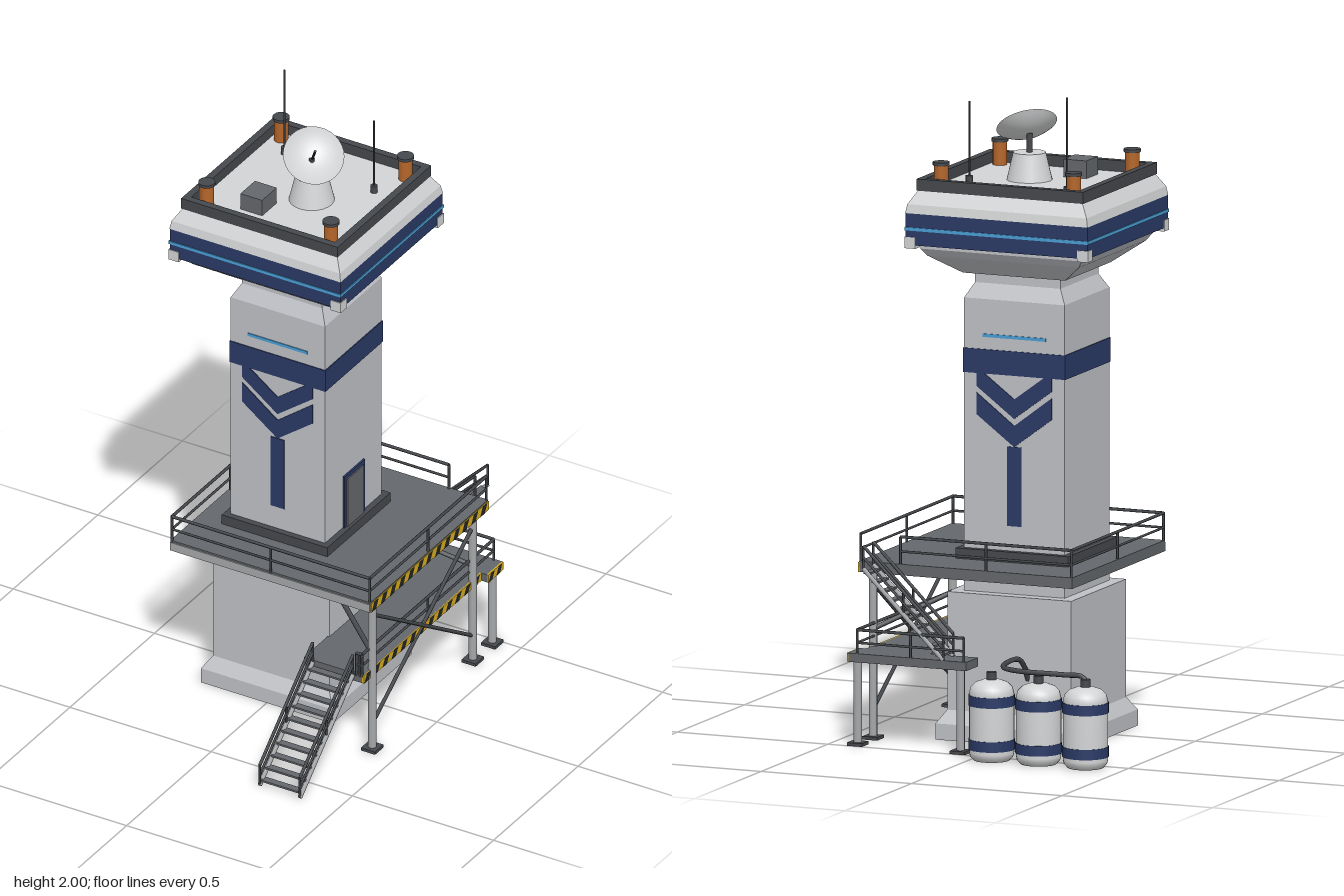
import * as THREE from 'three';
import { mergeGeometries } from 'three/addons/utils/BufferGeometryUtils.js';

const mat = (name, color, side = THREE.FrontSide) => {
  const m = new THREE.MeshStandardMaterial({ color, side });
  m.name = name;
  return m;
};
const V = (x, y, z) => new THREE.Vector3(x, y, z);

export function createModel() {
  const wall = mat('concrete', 0xbfc1c6), white = mat('white paint', 0xd3d4d5, THREE.DoubleSide);
  const deck = mat('deck grey', 0x64676b), trim = mat('dark trim', 0x45484c), steel = mat('steel', 0xa5a7aa);
  const navy = mat('navy', 0x2a3a66), cyan = mat('cyan', 0x4a9fd6), orange = mat('orange', 0xb5662a);
  const yellow = mat('yellow', 0xd9ae1e), black = mat('black', 0x232427);

  const model = new THREE.Group();
  const tower = new THREE.Group();
  tower.name = 'tower';
  tower.position.z = -0.062;
  model.add(tower);

  const add = (name, geo, material, parent = model, x = 0, y = 0, z = 0) => {
    const m = new THREE.Mesh(geo, material);
    m.name = name;
    m.position.set(x, y, z);
    parent.add(m);
    return m;
  };
  // box given by its min and max corners
  const box = (x0, x1, y0, y1, z0, z1) =>
    new THREE.BoxGeometry(x1 - x0, y1 - y0, z1 - z0).translate((x0 + x1) / 2, (y0 + y1) / 2, (z0 + z1) / 2);
  // square tower section from [half width, y] points, with sharp faces
  const square = (pts) => {
    const p = pts.map(([h, y]) => new THREE.Vector2(h * Math.SQRT2, y));
    const g = new THREE.LatheGeometry(p, 4, Math.PI / 4).toNonIndexed();
    g.computeVertexNormals();
    return g;
  };
  // round bar between two points
  const bar = (a, b, r = 0.004, n = 6) => {
    const d = b.clone().sub(a);
    const q = new THREE.Quaternion().setFromUnitVectors(V(0, 1, 0), d.clone().normalize());
    return new THREE.CylinderGeometry(r, r, d.length(), n).applyQuaternion(q)
      .translate((a.x + b.x) / 2, (a.y + b.y) / 2, (a.z + b.z) / 2);
  };
  // railing along a path: two rails, with posts at the corners and middles
  const railing = (name, path, h, mid = true) => {
    const up = (p, y) => p.clone().setY(p.y + y), parts = [];
    path.forEach((a, i) => {
      parts.push(bar(a, up(a, h)));
      const b = path[i + 1];
      if (!b) return;
      parts.push(bar(up(a, h), up(b, h), 0.005), bar(up(a, h / 2), up(b, h / 2)));
      const c = a.clone().lerp(b, 0.5);
      if (mid) parts.push(bar(c, up(c, h)));
    });
    add(name, mergeGeometries(parts), trim);
  };

  // Tower body
  add('base', square([[0, 0], [0.233, 0], [0.233, 0.05], [0.206, 0.09], [0.206, 0.455], [0, 0.455]]), wall, tower);
  add('shaft', square([[0.167, 0.45], [0.167, 1.36], [0.142, 1.405], [0.142, 1.45]]), wall, tower);
  add('shaftCollar', box(-0.187, 0.187, 0.55, 0.588, -0.187, 0.187), trim, tower);
  add('shaftBand', box(-0.17, 0.17, 1.13, 1.205, -0.17, 0.17), navy, tower);

  // Painted chevrons and stripe, front and back
  const chevron = (yo, yc, lo, lc) => new THREE.Shape([
    [-0.125, yo], [-0.125, lo], [0, lc], [0.125, lo], [0.125, yo], [0, yc]].map(([x, y]) => new THREE.Vector2(x, y)));
  for (const turn of [0, Math.PI]) {
    const side = new THREE.Group();
    side.name = turn ? 'backMarkings' : 'frontMarkings';
    side.rotation.y = turn;
    tower.add(side);
    const shapes = [chevron(1.15, 1.057, 1.09, 0.997), chevron(1.07, 0.975, 1.003, 0.91)];
    add('chevrons', new THREE.ExtrudeGeometry(shapes, { depth: 0.004, bevelEnabled: false }), navy, side, 0, 0, 0.166);
    add('stripe', box(-0.024, 0.024, 0.665, 0.91, 0.166, 0.17), navy, side);
    add('lightLine', box(-0.105, 0.105, 1.243, 1.253, 0.166, 0.17), cyan, side);
  }

  // Control room
  add('headUnderside', square([[0, 1.437], [0.17, 1.437], [0.252, 1.497], [0.268, 1.52], [0.268, 1.54]]), wall, tower);
  add('windowBand', box(-0.302, 0.302, 1.535, 1.635, -0.302, 0.302), navy, tower);
  add('windowLine', box(-0.305, 0.305, 1.58, 1.59, -0.305, 0.305), cyan, tower);
  add('headTop', square([[0.303, 1.633], [0.298, 1.66], [0.272, 1.702], [0, 1.702]]), white, tower);
  const posts = [], parapet = [];
  for (const sx of [-1, 1]) for (const sz of [-1, 1])
    posts.push(box(-0.018, 0.018, 1.525, 1.56, -0.018, 0.018).translate(sx * 0.287, 0, sz * 0.287));
  for (let i = 0; i < 4; i++) parapet.push(box(-0.277, 0.277, 1.70, 1.736, 0.254, 0.277).rotateY(i * Math.PI / 2));
  add('cornerBrackets', mergeGeometries(posts), white, tower);
  add('parapet', mergeGeometries(parapet), trim, tower);

  // Roof equipment
  for (const x of [-0.22, 0.22]) for (const z of [-0.22, 0.22]) {
    add('beacon', new THREE.CylinderGeometry(0.022, 0.022, 0.075, 16), orange, tower, x, 1.738, z);
    add('beaconCap', new THREE.CylinderGeometry(0.026, 0.026, 0.01, 16), trim, tower, x, 1.779, z);
  }
  add('roofBox', box(-0.119, -0.042, 1.70, 1.757, 0.042, 0.128), deck);
  for (const [x, z, top] of [[-0.17, -0.217, 2], [0.178, -0.166, 1.955]]) {
    add('antenna', bar(V(x, 1.7, z), V(x, top, z), 0.003), trim);
    add('antennaFoot', new THREE.CylinderGeometry(0.011, 0.011, 0.025, 10), trim, model, x, 1.713, z);
  }
  add('dishPedestal', new THREE.CylinderGeometry(0.05, 0.07, 0.085, 24), white, model, 0.036, 1.744, -0.035);
  add('dishPost', bar(V(0.036, 1.78, -0.035), V(0.036, 1.845, -0.035), 0.009, 10), trim);
  const dish = new THREE.Group();
  dish.name = 'dish';
  dish.position.set(0.037, 1.842, -0.037);
  dish.quaternion.setFromUnitVectors(V(0, 1, 0), V(0.42, 0.77, 0.47).normalize());
  model.add(dish);
  const bowl = [];
  for (let i = 0; i <= 8; i++) bowl.push(new THREE.Vector2(0.094 * i / 8, 0.034 * (i / 8) ** 2));
  add('bowl', new THREE.LatheGeometry(bowl, 32), white, dish);
  add('feed', bar(V(0, 0, 0), V(0, 0.075, 0), 0.004), black, dish);

  // Doors on the right side
  const door = (name, x, y0, y1, z0, z1) => {
    add(name + 'Frame', box(x - 0.01, x + 0.006, y0, y1, z0, z1), navy);
    add(name + 'Panel', box(x, x + 0.01, y0, y1 - 0.013, z0 + 0.013, z1 - 0.013), deck);
  };
  door('upperDoor', 0.167, 0.585, 0.77, -0.122, 0);
  door('lowerDoor', 0.206, 0.09, 0.222, -0.132, 0.01);
  add('lowerDoorLight', box(0.2, 0.212, 0.232, 0.242, -0.12, 0), cyan);

  // Upper platform and lower walkway
  add('upperDeck', box(-0.272, 0.436, 0.522, 0.556, -0.41, 0.286), deck);
  add('upperDeckFrontEdge', box(-0.272, 0.436, 0.522, 0.55, 0.286, 0.29), steel);
  add('lowerDeck', mergeGeometries([box(0.2, 0.41, 0.26, 0.287, -0.41, 0.286), box(0.04, 0.434, 0.26, 0.287, -0.5, -0.41)]), deck);
  const hazard = (name, x, y0, y1, zFront, zBack, n) => {
    const len = zFront - zBack, w = len / n, stripes = [];
    add(name + 'Plate', box(x - 0.004, x + 0.002, y0, y1, zBack, zFront), yellow);
    for (let i = 0; i < n; i++) {
      const a = i * w - zFront;
      const s = new THREE.Shape([[0, y0], [w * 0.5, y0], [w * 0.8, y1], [w * 0.3, y1]]
        .map(([u, y]) => new THREE.Vector2(a + u, y)));
      stripes.push(new THREE.ShapeGeometry(s).rotateY(Math.PI / 2));
    }
    add(name + 'Stripes', mergeGeometries(stripes), black, model, x + 0.003);
  };
  hazard('upperHazard', 0.437, 0.522, 0.552, 0.286, -0.41, 13);
  hazard('lowerHazard', 0.411, 0.26, 0.287, 0.286, -0.41, 13);
  hazard('backHazard', 0.435, 0.26, 0.287, -0.41, -0.5, 2);

  railing('upperRailing', [V(0.3, 0.55, -0.406), V(-0.268, 0.55, -0.406), V(-0.268, 0.55, 0.284),
    V(0.432, 0.55, 0.284), V(0.432, 0.55, -0.406)], 0.09);
  railing('lowerRailing', [V(0.385, 0.28, 0.284), V(0.405, 0.28, 0.284), V(0.405, 0.28, -0.495), V(0.05, 0.28, -0.495)], 0.08);

  // Support posts, feet and bracing
  const legs = [[0.412, 0.235, 0.525], [0.412, -0.36, 0.525], [0.412, -0.475, 0.27], [0.07, -0.475, 0.27]];
  for (const [x, z, top] of legs) {
    add('supportPost', bar(V(x, 0, z), V(x, top, z), 0.013, 12), steel);
    add('postFoot', box(x - 0.025, x + 0.025, 0, 0.01, z - 0.025, z + 0.025), trim);
  }
  add('crossBraces', mergeGeometries([
    bar(V(0.412, 0.09, 0.235), V(0.412, 0.48, -0.36), 0.006), bar(V(0.412, 0.48, 0.235), V(0.412, 0.09, -0.36), 0.006),
    bar(V(0.412, 0.34, 0.235), V(0.2, 0.45, 0.11), 0.008), bar(V(0.412, 0.34, -0.36), V(0.2, 0.45, -0.25), 0.008)]), trim);

  // Stair flights, built from foot to head with a sideways offset for each stringer
  const stair = (name, foot, head, side, steps, h) => {
    const treads = [], stringers = [], along = Math.abs(head.x - foot.x) > 0.1;
    for (let i = 0; i < steps; i++) {
      const p = foot.clone().lerp(head, (i + 0.5) / steps).addScaledVector(side, 0.5), w = side.length();
      treads.push(new THREE.BoxGeometry(along ? 0.024 : w, 0.006, along ? w : 0.024).translate(p.x, p.y, p.z));
    }
    for (const s of [0, 1]) {
      const a = foot.clone().addScaledVector(side, s), b = head.clone().addScaledVector(side, s);
      stringers.push(bar(a, b, 0.007));
      railing(name + 'Railing', [a, b], h);
    }
    add(name + 'Treads', mergeGeometries(treads), deck);
    add(name + 'Stringers', mergeGeometries(stringers), steel);
  };
  stair('frontStair', V(0.232, 0.007, 0.6), V(0.232, 0.28, 0.286), V(0.142, 0, 0), 10, 0.07);
  stair('backStair', V(0.12, 0.287, -0.493), V(0.385, 0.55, -0.493), V(0, 0, 0.075), 10, 0.07);

  // Storage tanks and their pipe
  const tankProfile = [[0, 0], [0.055, 0], [0.066, 0.012], [0.069, 0.025], [0.069, 0.205], [0.064, 0.225], [0.05, 0.239], [0.028, 0.247], [0, 0.25]]
    .map(([r, y]) => new THREE.Vector2(r, y));
  for (const x of [-0.372, -0.216, -0.06]) {
    const tank = new THREE.Group();
    tank.name = 'tank';
    tank.position.set(x, 0, -0.535);
    model.add(tank);
    add('tankBody', new THREE.LatheGeometry(tankProfile, 28), white, tank);
    for (const y of [0.05, 0.186]) add('tankBand', new THREE.CylinderGeometry(0.071, 0.071, 0.032, 28), navy, tank, 0, y);
    add('tankNozzle', new THREE.CylinderGeometry(0.015, 0.015, 0.03, 12), trim, tank, 0, 0.257);
  }
  const path = new THREE.CatmullRomCurve3([V(-0.372, 0.25, -0.535), V(-0.365, 0.277, -0.535), V(-0.3, 0.28, -0.535),
    V(-0.16, 0.28, -0.535), V(-0.09, 0.28, -0.505), V(-0.06, 0.28, -0.43), V(-0.06, 0.275, -0.33), V(-0.06, 0.24, -0.285), V(-0.06, 0.2, -0.262)]);
  add('pipe', new THREE.TubeGeometry(path, 48, 0.008, 8), trim);
  return model;
}
